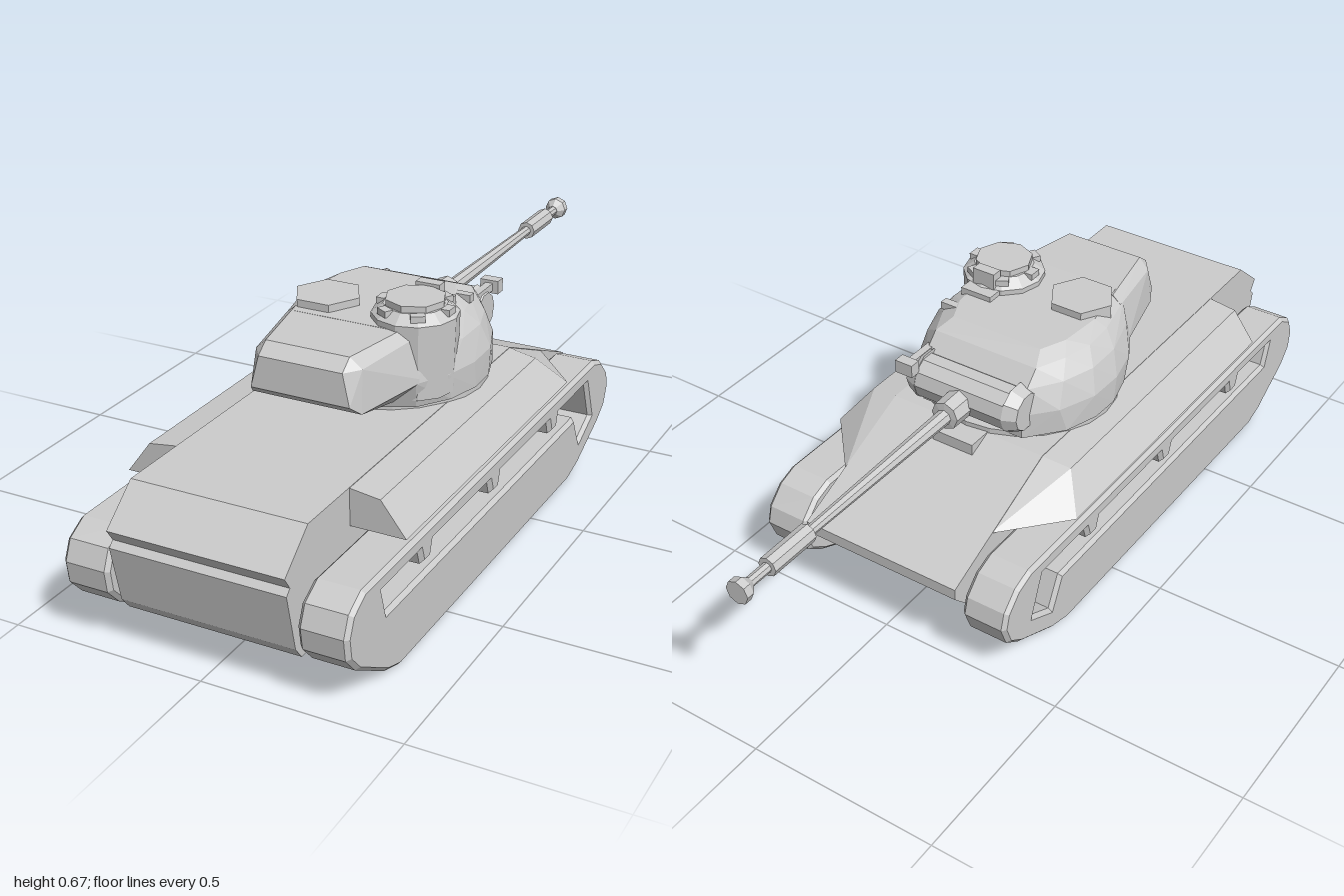
import * as THREE from 'three';
import { ConvexGeometry } from 'three/addons/geometries/ConvexGeometry.js';

const grey = new THREE.MeshStandardMaterial({ color: 0xcccccc, flatShading: true });

export function createModel() {
  const model = new THREE.Group();

  function add(name, geometry, x = 0, y = 0, z = 0) {
    const mesh = new THREE.Mesh(geometry, grey);
    mesh.name = name;
    mesh.position.set(x, y, z);
    model.add(mesh);
    return mesh;
  }
  const box = (name, w, h, d, x, y, z) => add(name, new THREE.BoxGeometry(w, h, d), x, y, z);
  const vec2 = (pts) => pts.map(([a, b]) => new THREE.Vector2(a, b));

  // Extrude a (z, y) side profile across x, centred on x = cx
  function sideExtrude(name, profile, width, cx, bevel = 0, hole = null) {
    const shape = new THREE.Shape(vec2(profile));
    if (hole) shape.holes.push(new THREE.Path(vec2(hole)));
    const g = new THREE.ExtrudeGeometry(shape, {
      depth: width - 2 * bevel, bevelEnabled: bevel > 0, bevelThickness: bevel,
      bevelSize: bevel, bevelOffset: -bevel, bevelSegments: 1,
    });
    g.translate(0, 0, -(width - 2 * bevel) / 2);
    g.rotateY(-Math.PI / 2);
    add(name, g, cx);
  }

  // Convex solid from [x, y, z] points, optionally mirrored over x
  function solid(name, pts, mirror = false) {
    const all = [];
    for (const [x, y, z] of pts) {
      all.push(new THREE.Vector3(x, y, z));
      if (mirror) all.push(new THREE.Vector3(-x, y, z));
    }
    add(name, new ConvexGeometry(all));
  }

  // Lathe-turned part along the gun axis, from radius and z pairs
  function turned(name, pts, y) {
    const g = new THREE.LatheGeometry(vec2(pts.map(([r, z]) => [r, -z])), 8);
    g.rotateX(-Math.PI / 2);
    add(name, g, 0, y, 0);
  }

  // Hull
  sideExtrude('hull', [
    [0.9, 0.4], [-0.14, 0.4], [-0.515, 0.24], [-0.515, 0.21], [-0.40, 0.095], [0.94, 0.095],
    [0.965, 0.127], [0.995, 0.273], [0.98, 0.287], [1.0, 0.318],
  ], 0.448, 0);

  // Track outline and the opening with its three hanging tabs
  const trackProfile = [
    [0.91, 0.281], [-0.40, 0.285], [-0.455, 0.265], [-0.5, 0.22], [-0.512, 0.175], [-0.49, 0.12],
    [-0.44, 0.085], [-0.3, 0.02], [-0.23, 0.002], [0.75, 0.0], [0.81, 0.02], [0.94, 0.1],
    [0.98, 0.145], [0.987, 0.2], [0.965, 0.25],
  ];
  const opening = [[0.83, 0.238]];
  for (const z of [0.65, 0.28, -0.085]) {
    opening.push([z, 0.238], [z - 0.012, 0.2], [z - 0.053, 0.2], [z - 0.065, 0.238]);
  }
  opening.push([-0.345, 0.238], [-0.385, 0.13], [-0.305, 0.09], [-0.265, 0.174], [0.81, 0.174]);

  // Tracks and fenders on both sides
  for (const s of [1, -1]) {
    const side = s > 0 ? 'left' : 'right';
    sideExtrude(side + 'Track', trackProfile, 0.123, s * 0.3015, 0.01, opening);
    solid(side + 'Fender', [
      [0.363, 0.305, 0.72], [0.363, 0.305, -0.2], [0.22, 0.305, -0.36], [0.22, 0.305, 0.72],
      [0.3, 0.388, 0.72], [0.3, 0.388, -0.13], [0.22, 0.399, -0.14], [0.22, 0.399, 0.72],
    ].map(([x, y, z]) => [s * x, y, z]));
  }
  box('frontHood', 0.12, 0.035, 0.07, 0, 0.385, -0.17);

  // Turret shell
  add('turretRing', new THREE.CylinderGeometry(0.255, 0.255, 0.025, 24), 0, 0.402, 0.11);
  const levels = [
    [0.41, [[0.15, -0.12], [0.225, -0.03], [0.255, 0.06], [0.258, 0.14], [0.235, 0.23], [0.18, 0.31], [0.1, 0.35]]],
    [0.48, [[0.15, -0.125], [0.215, -0.05], [0.255, 0.05], [0.258, 0.15], [0.235, 0.25], [0.19, 0.33]]],
    [0.545, [[0.15, -0.1], [0.205, -0.02], [0.235, 0.07], [0.235, 0.17], [0.2, 0.29]]],
    [0.585, [[0.15, -0.06], [0.185, 0.02], [0.205, 0.1], [0.2, 0.19], [0.17, 0.32]]],
    [0.606, [[0.13, -0.01], [0.16, 0.06], [0.17, 0.18], [0.14, 0.33]]],
  ];
  solid('turretBody', levels.flatMap(([y, ring]) => ring.map(([x, z]) => [x, y, z])), true);
  solid('turretBustle', [
    [0.13, 0.495, 0.545], [0.11, 0.575, 0.54], [0.145, 0.47, 0.515], [0.11, 0.602, 0.505],
    [0.14, 0.575, 0.5], [0.2, 0.48, 0.3], [0.13, 0.415, 0.3], [0.175, 0.585, 0.3], [0.15, 0.606, 0.3],
  ], true);

  // Cupola with a ring of vision blocks
  add('cupolaDrum', new THREE.CylinderGeometry(0.107, 0.1, 0.19, 12), 0.138, 0.525, 0.23);
  add('cupolaSlope', new THREE.CylinderGeometry(0.078, 0.107, 0.022, 12), 0.138, 0.631, 0.23);
  add('cupolaHatch', new THREE.CylinderGeometry(0.075, 0.075, 0.018, 8), 0.138, 0.649, 0.23);
  for (let i = 0; i < 6; i++) {
    const a = (i + 0.5) * Math.PI / 3;
    const block = box('visionBlock', 0.035, 0.016, 0.022,
      0.138 + 0.086 * Math.sin(a), 0.636, 0.23 + 0.086 * Math.cos(a));
    block.rotation.y = a;
  }
  box('cupolaSight', 0.064, 0.05, 0.03, 0.135, 0.64, 0.145);
  box('sightBase', 0.09, 0.03, 0.05, 0.135, 0.605, 0.12);

  // Six-sided roof hatch
  const hatch = new THREE.CylinderGeometry(0.087, 0.087, 0.04, 6);
  hatch.rotateY(Math.PI / 6);
  add('roofHatch', hatch, -0.1, 0.605, 0.23);

  // Small roof fittings
  box('roofSight', 0.05, 0.02, 0.022, 0.172, 0.595, 0.04);
  box('sideLamp', 0.05, 0.035, 0.03, 0.15, 0.545, -0.182);
  box('lampBracket', 0.02, 0.02, 0.12, 0.15, 0.545, -0.125);

  // Mantlet and gun
  const mantlet = new THREE.CylinderGeometry(0.058, 0.058, 0.26, 10);
  mantlet.rotateZ(Math.PI / 2);
  add('mantlet', mantlet, 0, 0.495, -0.125);
  for (const s of [1, -1]) {
    const cap = new THREE.CylinderGeometry(0.05, 0.066, 0.035, 10);
    cap.rotateZ(-s * Math.PI / 2);
    add('mantletEnd', cap, s * 0.147, 0.495, -0.118);
  }
  turned('gunCollar', [[0, -0.15], [0.04, -0.15], [0.038, -0.235], [0, -0.24]], 0.487);
  turned('gunBarrel', [[0.021, -0.2], [0.013, -0.78], [0.013, -0.97]], 0.485);
  turned('barrelSleeve', [[0, -0.76], [0.025, -0.76], [0.025, -0.9], [0, -0.9]], 0.485);
  turned('muzzle', [[0, -0.96], [0.014, -0.96], [0.031, -0.98], [0.031, -1.0], [0, -1.0]], 0.485);

  return model;
}
